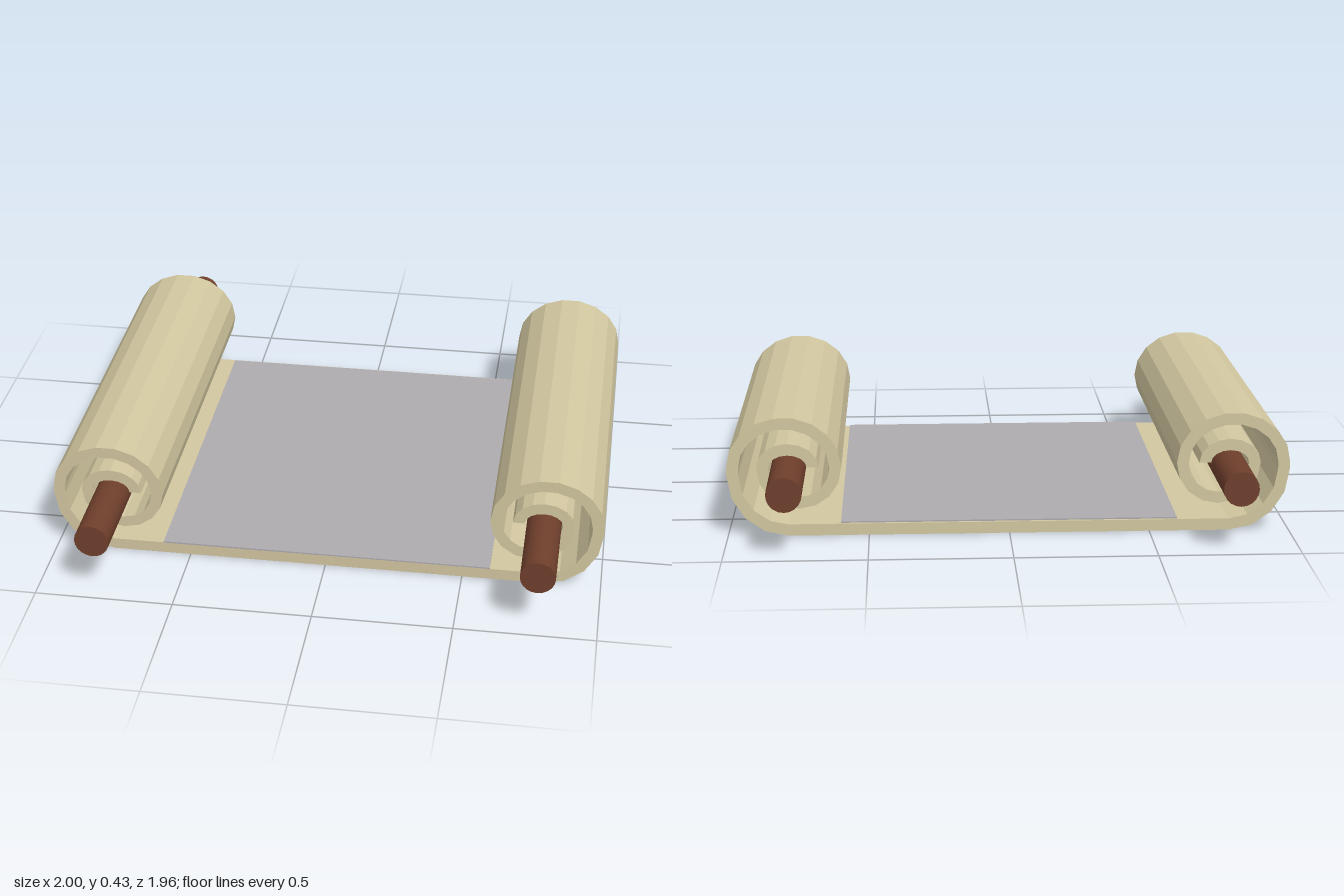
import * as THREE from 'three';

const paper = new THREE.MeshStandardMaterial({ color: 0xd2c7a0 });
paper.name = 'parchment';
const ink = new THREE.MeshStandardMaterial({ color: 0xaeabb0 });
ink.name = 'grey writing surface';
const wood = new THREE.MeshStandardMaterial({ color: 0x6f3f2c });
wood.name = 'dark wood';

const THICK = 0.042;

// Arcs of the right-hand curl: centre x, y, radii x, y, start and end angle, segments, first step
const ARCS = [
  [0.785, 0.225, 0.215, 0.225, -0.5, 0, 4, 0],
  [0.7975, 0.25, 0.2025, 0.182, 0, 1, 9, 0],
  [0.745, 0.25, 0.15, 0.15, 1, 2, 8, 1],
  [0.785, 0.25, 0.11, 0.087, 2, 3, 8, 1],
];

// One edge of the curl, moved inwards by the given inset
function curlEdge(inset) {
  const points = [];
  for (const [cx, cy, rx, ry, a0, a1, n, first] of ARCS) {
    for (let i = first; i <= n; i++) {
      const a = Math.PI * (a0 + ((a1 - a0) * i) / n);
      points.push(new THREE.Vector2(cx + (rx - inset) * Math.cos(a), cy + (ry - inset) * Math.sin(a)));
    }
  }
  return points;
}

function addMesh(group, name, geometry, material, x = 0, y = 0, z = 0) {
  const mesh = new THREE.Mesh(geometry, material);
  mesh.name = name;
  mesh.position.set(x, y, z);
  group.add(mesh);
  return mesh;
}

export function createModel() {
  const group = new THREE.Group();
  group.name = 'scroll';

  // Sheet with both ends rolled up, as a single mirrored cross-section
  const half = [...curlEdge(0), ...curlEdge(THICK).reverse()];
  const mirrored = half.map((p) => new THREE.Vector2(-p.x, p.y)).reverse();
  const sheet = new THREE.ExtrudeGeometry(new THREE.Shape([...half, ...mirrored]), {
    depth: 1.39,
    bevelEnabled: false,
  });
  addMesh(group, 'rolledSheet', sheet, paper, 0, 0, -0.71);

  // Grey face between the rolls
  addMesh(group, 'writingSurface', new THREE.BoxGeometry(1.2, 0.006, 1.38), ink, 0, THICK + 0.002, -0.01);

  // Wooden rods through the rolls
  for (const side of [1, -1]) {
    const rod = new THREE.CylinderGeometry(0.062, 0.062, 1.96, 20).rotateX(Math.PI / 2);
    addMesh(group, side > 0 ? 'leftRod' : 'rightRod', rod, wood, side * 0.785, 0.228, 0);
  }
  return group;
}
